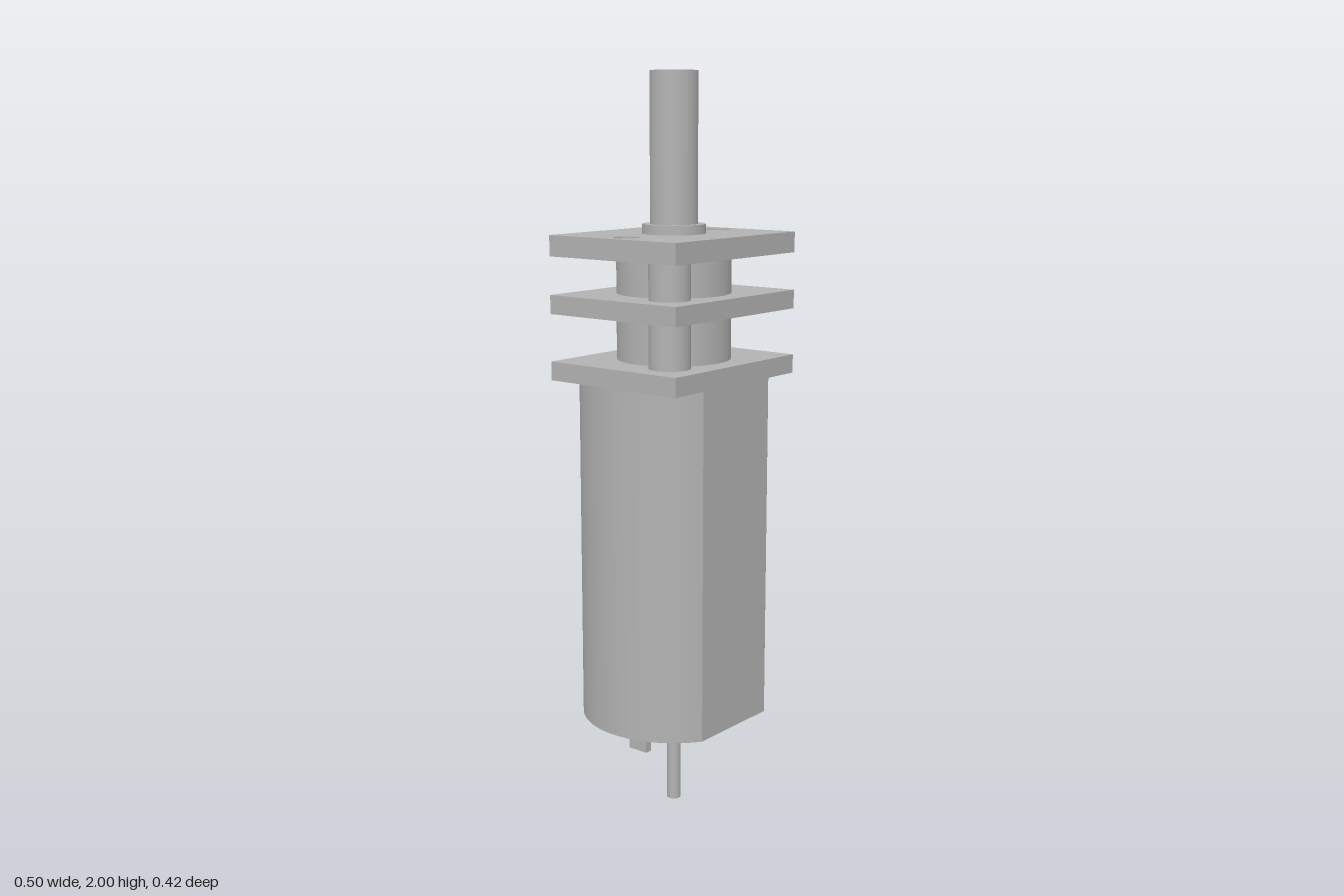
import * as THREE from 'three';

const metal = new THREE.MeshStandardMaterial({ color: 0xb2b2b2 });
metal.name = 'grey metal';

export function createModel() {
  const model = new THREE.Group();
  model.name = 'gearMotor';

  const add = (name, geometry, x, y, z) => {
    const mesh = new THREE.Mesh(geometry, metal);
    mesh.name = name;
    mesh.position.set(x, y, z);
    model.add(mesh);
    return mesh;
  };
  // Upright cylinder between two heights
  const rod = (name, r, y0, y1, x = 0, z = 0) =>
    add(name, new THREE.CylinderGeometry(r, r, y1 - y0, 48), x, (y0 + y1) / 2, z);
  // Block between two heights
  const block = (name, w, d, y0, y1, x = 0) =>
    add(name, new THREE.BoxGeometry(w, y1 - y0, d), x, (y0 + y1) / 2, 0);
  // Outline in (x, -z) raised between two heights
  const prism = (name, shape, y0, y1) => {
    const geometry = new THREE.ExtrudeGeometry(shape, { depth: y1 - y0, bevelEnabled: false, curveSegments: 32 });
    geometry.rotateX(-Math.PI / 2);
    return add(name, geometry, 0, y0, 0);
  };

  // Motor can: round sides with flat front and back
  const R = 0.252, D = 0.21, a = Math.asin(D / R);
  const can = new THREE.Shape();
  can.absarc(0, 0, R, -a, a, false);
  can.absarc(0, 0, R, Math.PI - a, Math.PI + a, false);
  can.closePath();
  prism('motorCan', can, 0.265, 1.205);

  // Gearbox plates, the top one with two mounting holes
  block('lowerPlate', 2 * R, 2 * D, 1.205, 1.255);
  block('middlePlate', 2 * R, 2 * D, 1.38, 1.43);
  const plate = new THREE.Shape([[-R, -D], [R, -D], [R, D], [-R, D]].map(p => new THREE.Vector2(...p)));
  for (const s of [-1, 1]) {
    plate.holes.push(new THREE.Path().absarc(s * 0.19, 0, 0.034, 0, Math.PI * 2, true));
  }
  prism('topPlate', plate, 1.53, 1.585);

  // Gears and diagonal spacer posts between the plates
  for (const [y0, y1] of [[1.255, 1.38], [1.43, 1.53]]) {
    rod('gear', 0.152, y0, y1);
    for (const s of [-1, 1]) rod('spacerPost', 0.054, y0, y1, s * 0.147, -s * 0.106);
  }

  // Output bearing and D-shaped shaft, flat towards the back
  rod('outputBearing', 0.084, 1.585, 1.61);
  const r = 0.063, b = Math.asin(0.043 / r);
  const dShape = new THREE.Shape();
  dShape.absarc(0, 0, r, Math.PI - b, Math.PI * 2 + b, false);
  dShape.closePath();
  prism('outputShaft', dShape, 1.61, 2);

  // Rear bearing, rear shaft and terminals
  rod('rearBearing', 0.105, 0.215, 0.265);
  rod('rearShaft', 0.019, 0, 0.215);
  for (const s of [-1, 1]) block('terminal', 0.02, 0.06, 0.19, 0.265, s * 0.146);

  // Smooth the curved walls of the extruded parts, keeping the flats sharp
  for (const [name, radius, flat] of [['motorCan', R, D], ['outputShaft', r, 0.043]]) {
    const g = model.getObjectByName(name).geometry;
    const p = g.attributes.position, n = g.attributes.normal;
    for (let i = 0; i < p.count; i++) {
      const x = p.getX(i), z = p.getZ(i);
      const onFlat = Math.abs(n.getZ(i)) > 0.999 && Math.abs(Math.abs(z) - flat) < 1e-4;
      if (Math.abs(n.getY(i)) < 0.5 && !onFlat) n.setXYZ(i, x / radius, 0, z / radius);
    }
  }
  return model;
}
